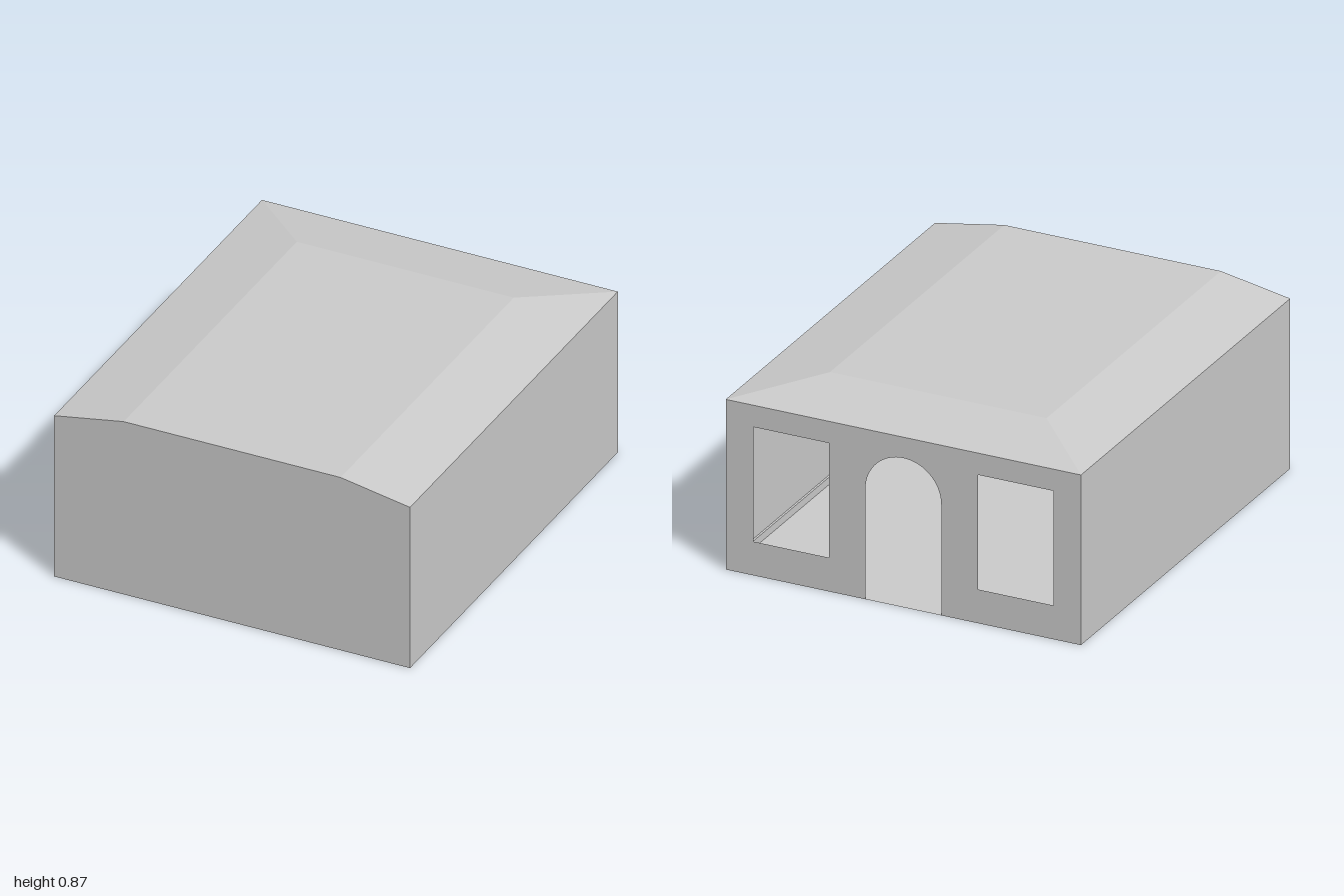
import * as THREE from 'three';

const W = 0.853, EAVE = 0.806, TOP = 0.866, RIDGE_X = 0.52, HIP_Z = -0.667;

export function createModel() {
  const group = new THREE.Group();
  const mat = new THREE.MeshStandardMaterial({ color: 0xcccccc, side: THREE.DoubleSide, flatShading: true });
  const add = (name, geometry, x = 0, y = 0, z = 0) => {
    const mesh = new THREE.Mesh(geometry, mat);
    mesh.name = name;
    mesh.position.set(x, y, z);
    group.add(mesh);
    return mesh;
  };

  // flat polygon from corners listed counter-clockwise as seen from outside
  const panel = (name, corners) => {
    const g = new THREE.BufferGeometry();
    g.setAttribute('position', new THREE.Float32BufferAttribute(corners.flat(), 3));
    const index = [];
    for (let i = 1; i < corners.length - 1; i++) index.push(0, i, i + 1);
    g.setIndex(index);
    g.computeVertexNormals();
    return add(name, g);
  };

  // floor and plain walls
  panel('floor', [[-W, 0, -1], [W, 0, -1], [W, 0, 1], [-W, 0, 1]]);
  panel('frontWall', [[-W, 0, 1], [W, 0, 1], [W, EAVE, 1], [RIDGE_X, TOP, 1], [-RIDGE_X, TOP, 1], [-W, EAVE, 1]]);
  panel('leftWall', [[W, 0, 1], [W, 0, -1], [W, EAVE, -1], [W, EAVE, 1]]);
  panel('rightWall', [[-W, 0, -1], [-W, 0, 1], [-W, EAVE, 1], [-W, EAVE, -1]]);

  // shallow roof, hipped at the back and cut flush at the front
  panel('roofTop', [[-RIDGE_X, TOP, 1], [RIDGE_X, TOP, 1], [RIDGE_X, TOP, HIP_Z], [-RIDGE_X, TOP, HIP_Z]]);
  panel('roofLeftSlope', [[W, EAVE, 1], [W, EAVE, -1], [RIDGE_X, TOP, HIP_Z], [RIDGE_X, TOP, 1]]);
  panel('roofRightSlope', [[-W, EAVE, -1], [-W, EAVE, 1], [-RIDGE_X, TOP, 1], [-RIDGE_X, TOP, HIP_Z]]);
  panel('roofBackSlope', [[W, EAVE, -1], [-W, EAVE, -1], [-RIDGE_X, TOP, HIP_Z], [RIDGE_X, TOP, HIP_Z]]);

  // back wall with an arched doorway and two windows
  const doorR = 0.182, spring = 0.525;
  const wall = new THREE.Shape();
  wall.moveTo(-W, 0);
  wall.lineTo(-doorR, 0);
  wall.lineTo(-doorR, spring);
  wall.absarc(0, spring, doorR, Math.PI, 0, true);
  wall.lineTo(doorR, 0);
  wall.lineTo(W, 0);
  wall.lineTo(W, EAVE);
  wall.lineTo(-W, EAVE);
  wall.closePath();
  for (const [x0, x1] of [[-0.72, -0.358], [0.358, 0.72]]) {
    wall.holes.push(new THREE.Path([
      new THREE.Vector2(x0, 0.16), new THREE.Vector2(x0, 0.703),
      new THREE.Vector2(x1, 0.703), new THREE.Vector2(x1, 0.16),
    ]));
  }
  add('backWall', new THREE.ShapeGeometry(wall, 24), 0, 0, -1).rotation.y = Math.PI;

  // thin trim inside, along the foot and the top of the walls
  const h = 0.035, d = 0.01;
  for (const [name, y] of [['skirting', h / 2 + 0.001], ['cornice', EAVE - h / 2 - 0.001]]) {
    for (const s of [-1, 1]) {
      add(name, new THREE.BoxGeometry(d, h, 1.98), s * (W - d / 2 - 0.001), y, 0);
    }
    add(name, new THREE.BoxGeometry(2 * W - 0.03, h, d), 0, y, 1 - d / 2 - 0.001);
  }
  return group;
}
